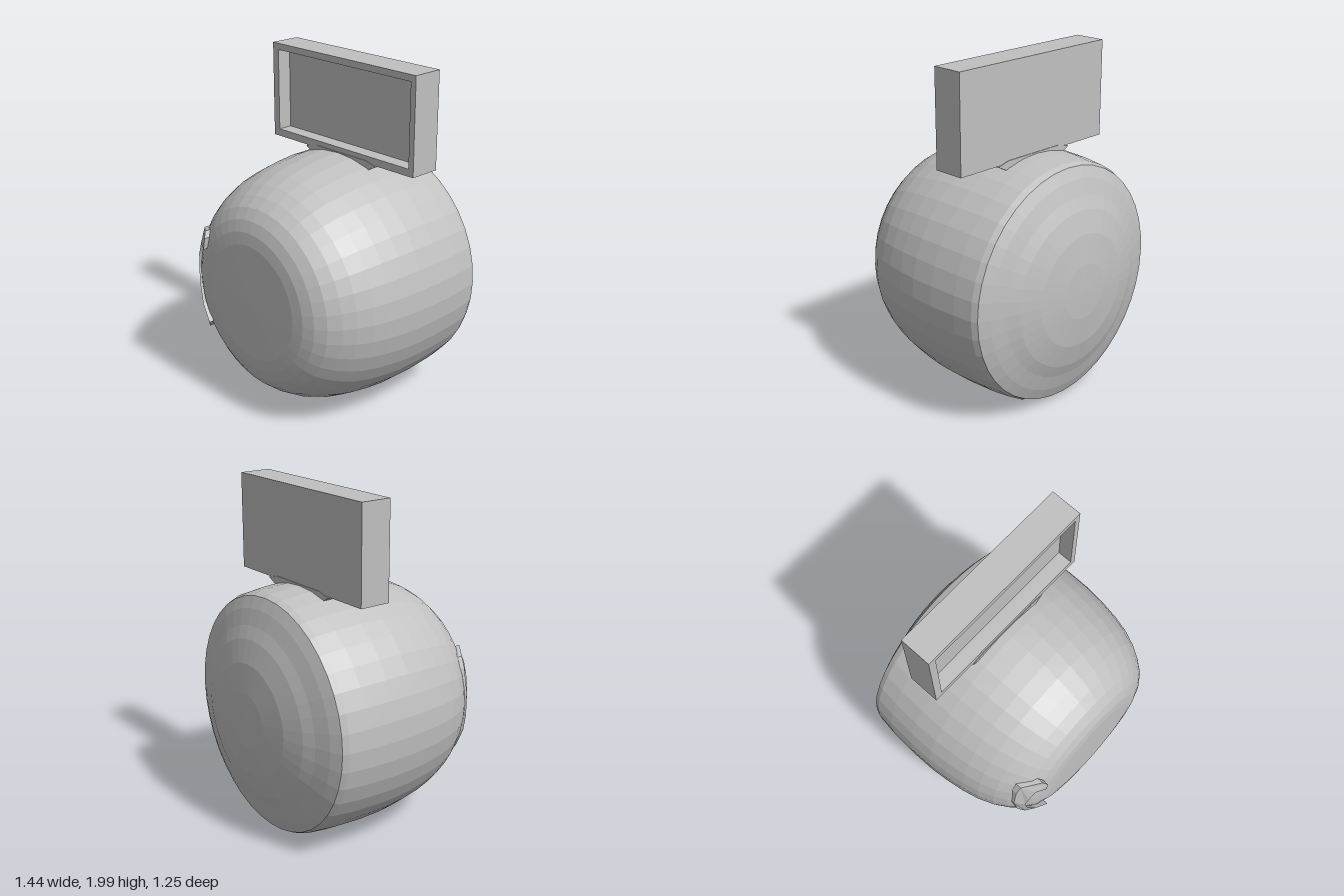
import * as THREE from 'three';

const CENTRE_Y = 0.73;

// body profile as [z, radius], from the domed back to the flat front
const PROFILE = [
  [-0.625, 0], [-0.62, 0.16], [-0.6, 0.33], [-0.565, 0.46], [-0.535, 0.53], [-0.505, 0.62],
  [-0.475, 0.685], [-0.44, 0.7], [-0.32, 0.714], [-0.15, 0.722], [0, 0.72], [0.12, 0.708],
  [0.23, 0.69], [0.33, 0.665], [0.42, 0.628], [0.49, 0.585], [0.55, 0.535], [0.59, 0.475],
  [0.613, 0.41], [0.622, 0.34], [0.625, 0],
];

// z of the front surface at a given radius
function frontZ(r) {
  for (let i = PROFILE.length - 1; i > 10; i--) {
    const [z1, r1] = PROFILE[i], [z0, r0] = PROFILE[i - 1];
    if (r <= r0) return z1 + (z0 - z1) * (r - r1) / (r0 - r1);
  }
  return 0;
}

function polygon(points) {
  return new THREE.Shape(points.map(([x, y]) => new THREE.Vector2(x, y)));
}

function rectangle(x0, y0, x1, y1) {
  return [[x0, y0], [x1, y0], [x1, y1], [x0, y1]];
}

export function createModel() {
  const model = new THREE.Group();
  const grey = new THREE.MeshStandardMaterial({ color: 0xc0c0c0, flatShading: true });
  grey.name = 'plain grey';

  function add(name, geometry) {
    const mesh = new THREE.Mesh(geometry, grey);
    mesh.name = name;
    model.add(mesh);
    return mesh;
  }

  // barrel-shaped body, turned around the z axis
  const body = new THREE.LatheGeometry(PROFILE.map(([z, r]) => new THREE.Vector2(r, z)), 40);
  body.rotateX(Math.PI / 2);
  body.translate(0, CENTRE_Y, 0);
  add('body', body);

  // sign tray: back panel and raised border
  const panel = new THREE.BoxGeometry(1.11, 0.56, 0.1);
  panel.translate(0.015, 1.72, -0.192);
  add('signPanel', panel);

  const border = polygon(rectangle(-0.54, 1.44, 0.57, 2));
  border.holes.push(polygon(rectangle(-0.495, 1.483, 0.535, 1.962).reverse()));
  const frame = new THREE.ExtrudeGeometry(border, { depth: 0.087, bevelEnabled: false });
  frame.translate(0, 0, -0.142);
  add('signFrame', frame);

  // flared foot joining sign and body
  const foot = new THREE.ExtrudeGeometry(
    polygon([[-0.19, 1.39], [0.21, 1.39], [0.3, 1.435], [0.22, 1.455], [-0.18, 1.455], [-0.26, 1.435]]),
    { depth: 0.195, bevelEnabled: false });
  foot.translate(0, 0, -0.246);
  add('signFoot', foot);

  // curved handle laid over the front surface, standing out at both ends
  const outline = polygon([
    [-0.4, 0.93], [-0.39, 1], [-0.41, 1.035], [-0.51, 1.01], [-0.54, 0.95], [-0.565, 0.8], [-0.55, 0.66],
    [-0.51, 0.54], [-0.44, 0.41], [-0.375, 0.475], [-0.46, 0.56], [-0.505, 0.66], [-0.52, 0.76], [-0.5, 0.86], [-0.46, 0.945],
  ]);
  const handle = new THREE.ExtrudeGeometry(outline, { depth: 1, bevelEnabled: false });
  const p = handle.attributes.position;
  for (let i = 0; i < p.count; i++) {
    const x = p.getX(i), y = p.getY(i);
    const lift = 0.012 + 0.08 * Math.abs(y - 0.72);
    p.setZ(i, frontZ(Math.hypot(x, y - CENTRE_Y)) + (p.getZ(i) > 0.5 ? lift : -0.04));
  }
  handle.computeVertexNormals();
  add('handle', handle);

  return model;
}
